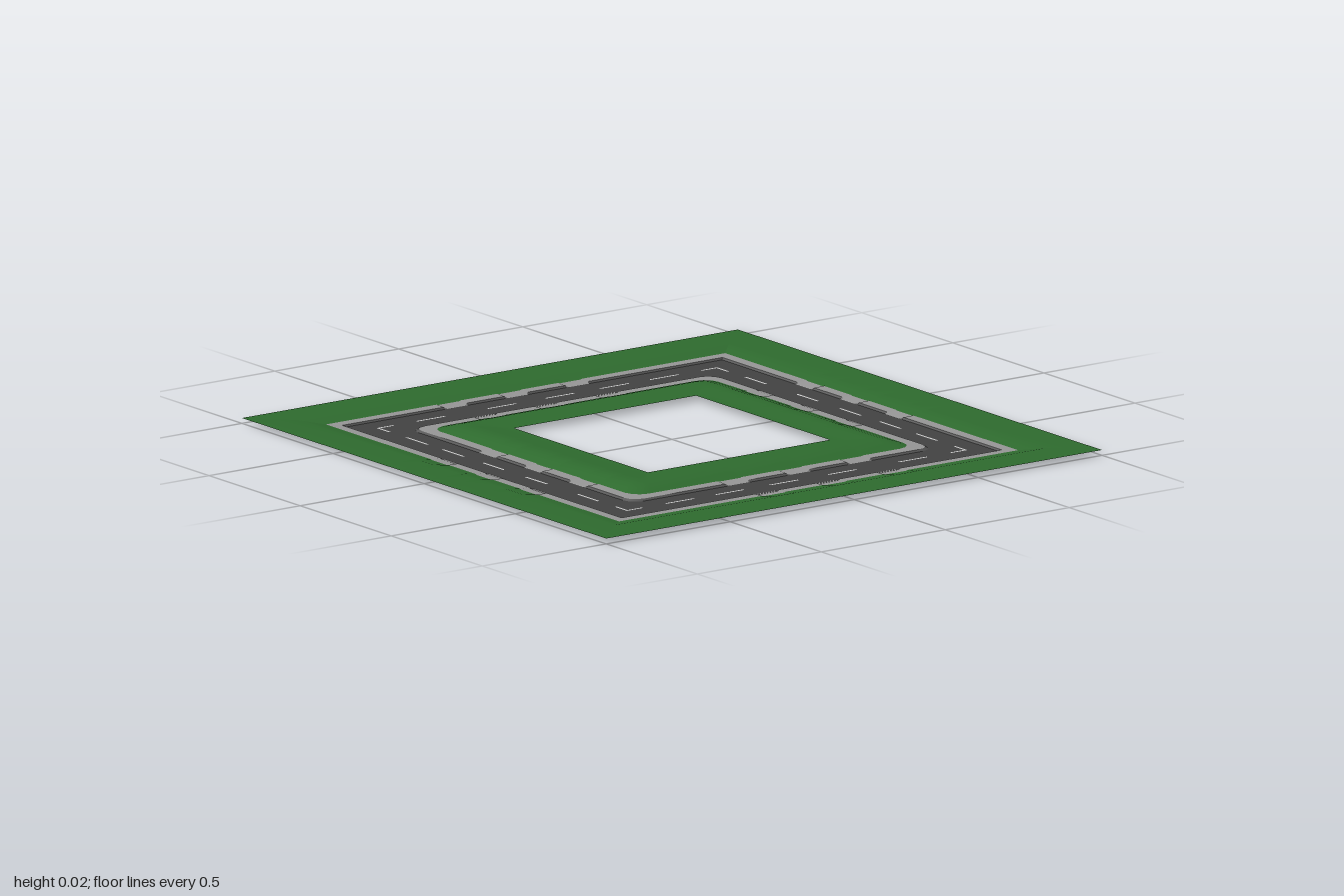
import * as THREE from 'three';

const GRASS = 0x2e6b2e, PAVING = 0x969696, KERB = 0x555555, ROAD = 0x424242, PAINT = 0xc4c4c4;
const CUTS = [-0.31, -0.065, 0.18];          // driveway centres along one side
const DASHES = [-0.47, -0.185, 0.05, 0.27, 0.47];
const CUT = 0.042, LANE = 0.683;

const material = color => new THREE.MeshStandardMaterial({ color, side: THREE.DoubleSide });

// Closed rounded-square loop: half size h, corner radius r, height y, drop at the driveways
function loop({ h, r = 0, y, drop = 0 }, seg) {
  const side = [];
  const e = h - r;
  side.push([-e, -h, y]);
  if (h > 0.4) {
    for (const c of CUTS) {
      for (const [d, low] of [[-CUT - 0.006, 0], [-CUT, 1], [CUT, 1], [CUT + 0.006, 0]]) {
        side.push([c + d, -h, y - drop * low]);
      }
    }
  } else {
    for (const c of CUTS) for (let i = 0; i < 4; i++) side.push([c + (i < 2 ? -CUT : CUT), -h, y]);
  }
  side.push([e, -h, y]);
  for (let i = 1; i < seg; i++) {
    const a = (i / seg) * Math.PI / 2;
    side.push([e + r * Math.sin(a), -e - r * Math.cos(a), y]);
  }
  const points = [];
  for (let k = 0; k < 4; k++) {
    for (const p of side) {
      let [x, z] = p;
      for (let j = 0; j < k; j++) [x, z] = [-z, x];
      points.push(x, p[2], z);
    }
  }
  return points;
}

// Surface joining loops listed from the outside in
function ring(name, color, loops, seg = 1) {
  const position = [], index = [];
  for (const l of loops) position.push(...loop(l, seg));
  const n = position.length / 3 / loops.length;
  for (let j = 0; j < loops.length - 1; j++) {
    for (let i = 0; i < n; i++) {
      const a = j * n + i, b = j * n + (i + 1) % n;
      index.push(a, a + n, b, b, a + n, b + n);
    }
  }
  const geometry = new THREE.BufferGeometry();
  geometry.setAttribute('position', new THREE.Float32BufferAttribute(position, 3));
  geometry.setIndex(index);
  geometry.computeVertexNormals();
  const mesh = new THREE.Mesh(geometry, material(color));
  mesh.name = name;
  return mesh;
}

// Flat rectangle lying on the ground
function patch(name, color, w, d, x, y, z, tilt = 0) {
  const mesh = new THREE.Mesh(new THREE.PlaneGeometry(w, d).rotateX(-Math.PI / 2), material(color));
  mesh.name = name;
  mesh.position.set(x, y, z);
  mesh.rotation.x = tilt;
  return mesh;
}

export function createModel() {
  const model = new THREE.Group();
  model.name = 'roadBlock';

  // Outer verge, sidewalk and kerb
  model.add(
    ring('outerGrass', GRASS, [
      { h: 1, y: 0.018 }, { h: 0.87, y: 0.018 }, { h: 0.835, y: 0.012, drop: 0.001 },
      { h: 0.805, y: 0.007, drop: 0.002 },
    ]),
    ring('outerSidewalk', PAVING, [
      { h: 0.805, y: 0.007, drop: 0.002 }, { h: 0.767, y: 0.006, drop: 0.004 },
    ]),
    ring('outerKerb', KERB, [{ h: 0.767, y: 0.006, drop: 0.004 }, { h: 0.761, y: 0 }]),
  );

  // Carriageway
  model.add(ring('road', ROAD, [{ h: 0.761, y: 0 }, { h: 0.611, r: 0.05, y: 0 }], 3));

  // Inner kerb, sidewalk and lawn with a low mound
  model.add(
    ring('innerKerb', KERB, [
      { h: 0.611, r: 0.05, y: 0 }, { h: 0.603, r: 0.05, y: 0.006, drop: 0.004 },
    ], 3),
    ring('innerSidewalk', PAVING, [
      { h: 0.603, r: 0.05, y: 0.006, drop: 0.004 }, { h: 0.562, r: 0.055, y: 0.007, drop: 0.002 },
    ], 3),
    ring('innerGrass', GRASS, [
      { h: 0.562, r: 0.055, y: 0.007, drop: 0.002 }, { h: 0.53, r: 0.05, y: 0.017, drop: 0.001 },
      { h: 0.5, r: 0.04, y: 0.024 }, { h: 0.46, r: 0.03, y: 0.024 },
      { h: 0.41, r: 0.01, y: 0.019 }, { h: 0.367, y: 0.018 },
    ], 3),
  );

  // Driveway aprons and lane markings, repeated round the four sides
  for (let k = 0; k < 4; k++) {
    const side = new THREE.Group();
    side.name = 'roadSide';
    side.rotation.y = -k * Math.PI / 2;
    for (const x of CUTS) {
      side.add(
        patch('outerApron', PAVING, CUT * 2, 0.013, x, 0.0022, -0.761, 0.1),
        patch('innerApron', PAVING, CUT * 2, 0.013, x, 0.0022, -0.609, -0.1),
      );
    }
    for (const x of DASHES) side.add(patch('laneDash', PAINT, 0.115, 0.008, x, 0.001, -LANE));
    for (const s of [-1, 1]) {
      side.add(patch('cornerMark', PAINT, 0.066, 0.008, s * (LANE - 0.029), 0.001, -LANE));
    }
    model.add(side);
  }
  return model;
}
